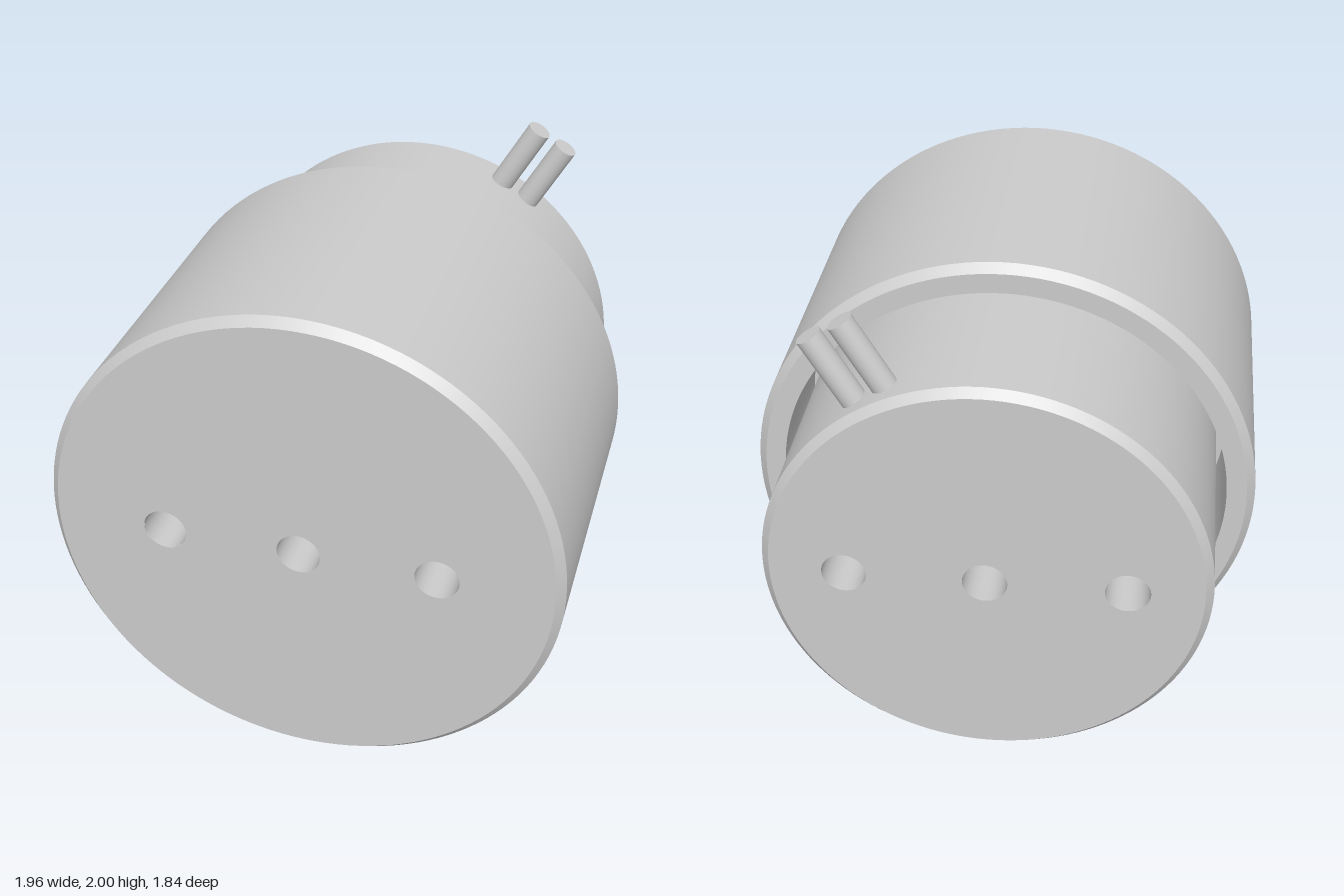
import * as THREE from 'three';
import { mergeGeometries } from 'three/addons/utils/BufferGeometryUtils.js';

const SEG = 128;
const material = new THREE.MeshStandardMaterial({ color: 0xcccccc });
const HOLE_X = [-0.52, 0, 0.52];
const HOLE_R = 0.083;

// Surface of revolution about z from [radius, z] points, with sharp edges between segments
function turned(points, segments = SEG) {
  const parts = [];
  for (let i = 0; i < points.length - 1; i++) {
    const pair = [points[i], points[i + 1]].map(([r, z]) => new THREE.Vector2(r, z));
    parts.push(new THREE.LatheGeometry(pair, segments));
  }
  return mergeGeometries(parts).rotateX(Math.PI / 2);
}

function addMesh(parent, name, geometry) {
  const mesh = new THREE.Mesh(geometry, material);
  mesh.name = name;
  parent.add(mesh);
  return mesh;
}

// Flat round face towards +z with three drilled holes, each ending in a cone
function drilledFace(name, radius) {
  const face = new THREE.Group();
  face.name = name;
  const shape = new THREE.Shape().absarc(0, 0, radius, 0, Math.PI * 2, false);
  for (const x of HOLE_X) {
    shape.holes.push(new THREE.Path().absarc(x, 0, HOLE_R, 0, Math.PI * 2, true));
    const bore = turned([[HOLE_R, 0], [HOLE_R, -0.25], [0, -0.3]], 48);
    addMesh(face, 'mountingHole', bore).position.x = x;
  }
  addMesh(face, 'facePlate', new THREE.ShapeGeometry(shape, SEG / 2));
  return face;
}

export function createModel() {
  const model = new THREE.Group();
  model.name = 'cylindricalSensor';
  const body = new THREE.Group();
  body.name = 'body';
  body.position.y = 0.982;
  model.add(body);

  // Outer cup with chamfered rims and a narrow gap around the core
  addMesh(body, 'outerCup', turned([
    [0.83, 0.2], [0.87, 0.2], [0.87, -0.33], [0.948, -0.33],
    [0.98, -0.298], [0.98, 0.888], [0.948, 0.92],
  ]));
  const front = drilledFace('frontFace', 0.948);
  front.position.z = 0.92;
  body.add(front);

  // Inner core protruding at the back
  addMesh(body, 'innerCore', turned([[0.798, -0.92], [0.828, -0.89], [0.828, 0.2]]));
  const back = drilledFace('backFace', 0.798);
  back.rotation.y = Math.PI;
  back.position.z = -0.92;
  body.add(back);

  // Pair of cable pins leaning out radially
  const pins = new THREE.Group();
  pins.name = 'cablePins';
  pins.rotation.z = -Math.PI / 6;
  pins.position.z = -0.79;
  body.add(pins);
  for (const side of [-1, 1]) {
    const pin = addMesh(pins, 'cablePin', new THREE.CylinderGeometry(0.048, 0.048, 0.36, 40));
    pin.position.set(side * 0.064, 0.93, 0);
  }
  return model;
}
